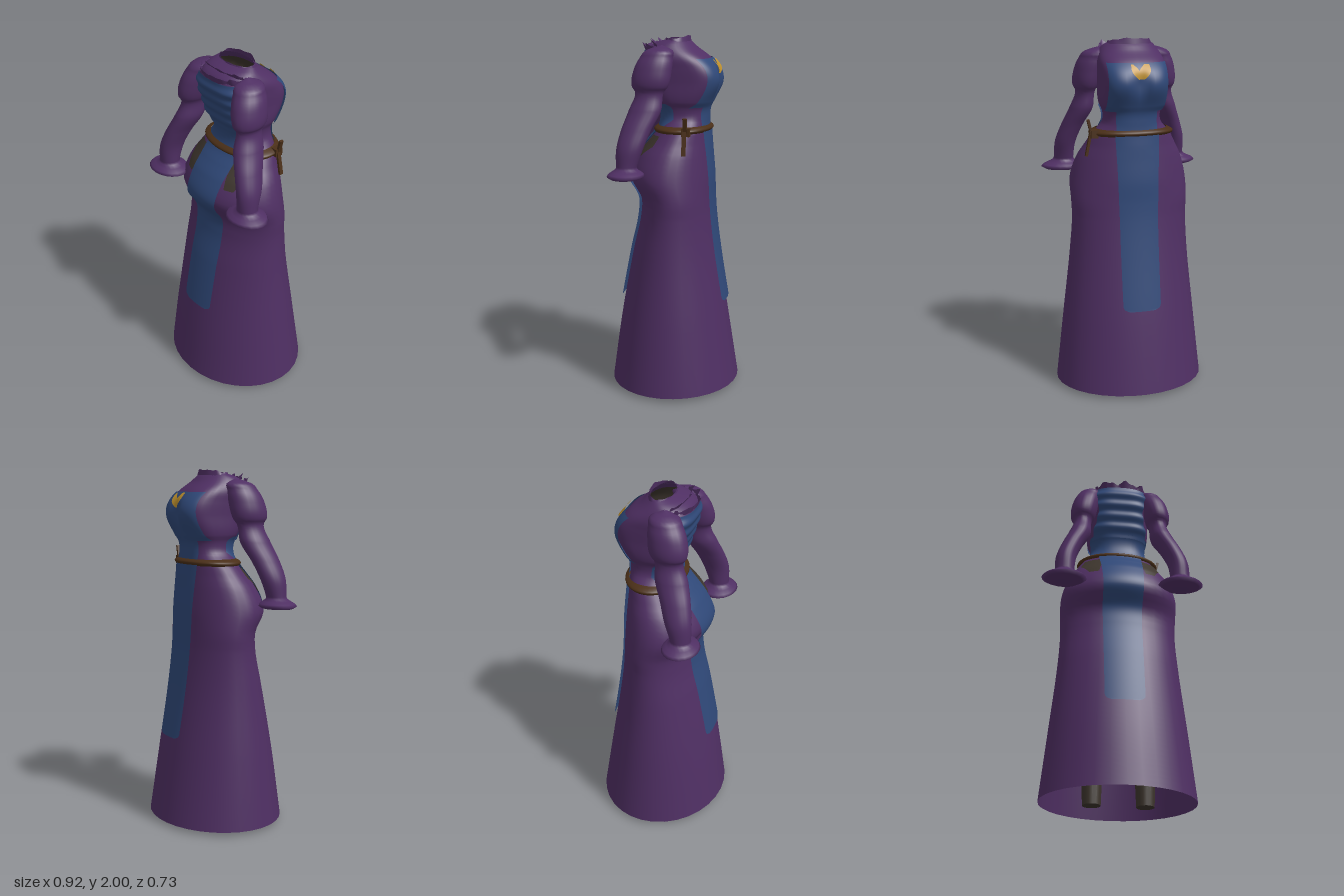
import * as THREE from 'three';
import { ParametricGeometry } from 'three/addons/geometries/ParametricGeometry.js';

const mat = (name, color) => {
  const m = new THREE.MeshStandardMaterial({ color, side: THREE.DoubleSide });
  m.name = name;
  return m;
};

// Smooth lookup in a table whose first column is the height, rising
function table(rows) {
  const n = rows[0].length - 1;
  const curve = new THREE.CubicInterpolant(rows.map(r => r[0]), rows.flatMap(r => r.slice(1)), n, new Array(n));
  return y => [...curve.evaluate(y)];
}

// Gown sections: y, half width, +z reach, -z reach, squareness (1 = ellipse)
const gown = table([
  [0.02, 0.43, 0.365, 0.365, 1],
  [0.4, 0.388, 0.31, 0.305, 1],
  [0.8, 0.345, 0.235, 0.24, 1],
  [1.0, 0.333, 0.19, 0.215, 1],
  [1.1, 0.337, 0.187, 0.208, 1],
  [1.22, 0.335, 0.25, 0.205, 1],
  [1.35, 0.295, 0.2, 0.195, 1],
  [1.42, 0.255, 0.145, 0.19, 1],
  [1.48, 0.22, 0.095, 0.185, 0.95],
  [1.54, 0.165, 0.075, 0.183, 0.85],
  [1.6, 0.16, 0.08, 0.187, 0.8],
  [1.64, 0.175, 0.1, 0.205, 0.7],
  [1.75, 0.18, 0.135, 0.252, 0.6],
  [1.82, 0.183, 0.155, 0.235, 0.6],
  [1.88, 0.183, 0.165, 0.185, 0.7],
  [1.93, 0.165, 0.15, 0.12, 0.85],
  [1.96, 0.14, 0.1, 0.09, 1],
  [1.975, 0.118, 0.05, 0.072, 1],
]);

// Point on the gown at height y and angle a (0 faces +z), pushed out by off
function skin(y, a, off, target) {
  const [w, zp, zn, e] = gown(y);
  const pw = t => Math.sign(t) * Math.abs(t) ** e;
  const mid = (zp - zn) / 2, depth = (zp + zn) / 2;
  const x = (w + off) * pw(Math.sin(a));
  let z = mid + (depth + off) * pw(Math.cos(a));
  // hollow between the two sides of the chest
  if (z < mid) z += 0.03 * Math.exp(-((x / 0.04) ** 2) - (((y - 1.76) / 0.07) ** 2));
  return target.set(x, y, z);
}

// Angle from the middle of a side at which the gown reaches a given x
function angleAt(y, x) {
  const [w, , , e] = gown(y);
  return Math.asin(Math.sign(x) * Math.min(0.985, Math.abs(x) / w) ** (1 / e));
}

const lerp = THREE.MathUtils.lerp;

export function createModel() {
  const group = new THREE.Group();
  const purple = mat('purple cloth', 0x4f2f63);
  const blue = mat('blue cloth', 0x2f4878);
  const brown = mat('brown leather', 0x4a2f18);
  const dark = mat('dark lining', 0x3d352d);
  const gold = mat('gold', 0xc0922f);

  const add = (name, geometry, material, parent = group) => {
    const mesh = new THREE.Mesh(geometry, material);
    mesh.name = name;
    parent.add(mesh);
    return mesh;
  };
  const surface = (name, material, f, nu, nv) => add(name, new ParametricGeometry(f, nu, nv), material);

  // Closed band of the gown between two heights
  const band = (name, material, y0, y1, off, nv, nu = 40) =>
    surface(name, material, (u, v, t) => skin(lerp(y0, y1, v), u * Math.PI * 2, off(v), t), nu, nv);

  // Cloth panel hugging the gown; side 0 is +z, side 1 is -z
  const panel = (name, material, side, y0, y1, left, right, off, nv, nu = 16) =>
    surface(name, material, (u, v, t) => {
      const y = lerp(y0, y1, v);
      const a = lerp(angleAt(y, left(y)), angleAt(y, right(y)), u);
      return skin(y, a + side * Math.PI, off(y), t);
    }, nu, nv);

  band('skirt', purple, 0.02, 1.49, () => 0, 48, 32);
  band('bodice', purple, 1.48, 1.975, () => 0, 40);
  band('bodyLining', dark, 1.3, 1.94, () => -0.018, 24, 28);
  band('belt', brown, 1.472, 1.508, v => 0.008 + 0.018 * Math.sin(Math.PI * v), 6);

  // Long tabard strips with rounded lower corners
  const stripHalf = y => {
    const r = 0.035, d = Math.min(r, Math.max(0, y - 0.5));
    const taper = y > 1 ? 0.105 + 0.012 * (y - 1) / 0.5 : 0.105;
    return taper - r + Math.sqrt(r * r - (r - d) ** 2);
  };
  // Bib and waist panels on both sides
  const wrinkle = y => 0.011 + 0.004 * Math.sin(y * 95);
  const bibHalf = y => 0.137 + 0.012 * Math.cos((y - 1.63) * 22);
  for (const side of [0, 1]) {
    const place = side ? 'bust' : 'back';
    panel(place + 'Strip', blue, side, 0.5, 1.485, y => -stripHalf(y), stripHalf, () => 0.016, 90, 10);
    const half = side ? () => 0.158 : bibHalf;
    panel(place + 'Bib', blue, side, 1.61, side ? 1.875 : 1.915, y => -half(y), half, side ? () => 0.009 : wrinkle, 40);
    const w = side ? 0.11 : 0.162;
    panel(place + 'Waist', blue, side, 1.49, 1.63, () => -w, () => w, () => 0.008, 10);
  }

  // Dark patches over the hips
  for (const s of [-1, 1]) {
    const inner = y => s * (0.115 + 0.25 * Math.max(0, 1.39 - y));
    const outer = y => s * (0.225 - 0.5 * Math.abs(y - 1.4));
    panel('hipPatch', dark, 0, 1.32, 1.455, s > 0 ? inner : outer, s > 0 ? outer : inner, () => 0.006, 10, 8);
  }

  // Sleeves: y, centre x, centre z, half width, half depth
  const sleeve = table([
    [1.228, 0.335, 0.21, 0.002, 0.002],
    [1.232, 0.335, 0.21, 0.058, 0.045],
    [1.3, 0.333, 0.205, 0.056, 0.056],
    [1.4, 0.325, 0.188, 0.058, 0.074],
    [1.5, 0.29, 0.16, 0.06, 0.083],
    [1.6, 0.245, 0.122, 0.064, 0.09],
    [1.7, 0.225, 0.1, 0.054, 0.08],
    [1.73, 0.224, 0.098, 0.07, 0.1],
    [1.82, 0.208, 0.085, 0.08, 0.105],
    [1.88, 0.19, 0.07, 0.075, 0.092],
    [1.925, 0.168, 0.055, 0.06, 0.068],
    [1.947, 0.15, 0.05, 0.004, 0.004],
  ]);
  for (const s of [-1, 1]) {
    surface(s > 0 ? 'leftSleeve' : 'rightSleeve', purple, (u, v, t) => {
      const y = lerp(1.228, 1.947, v), a = u * Math.PI * 2;
      const [cx, cz, w, d] = sleeve(y);
      return t.set(s * cx + w * Math.sin(a), y, cz + d * Math.cos(a));
    }, 20, 56);
  }

  // Ragged collar around the neck opening
  surface('collar', purple, (u, v, t) => {
    const a = u * Math.PI * 2;
    const rag = 0.5 + 0.25 * Math.sin(a * 5) + 0.25 * Math.sin(a * 9 + 1);
    const top = 0.012 + 0.008 * rag + 0.016 * Math.max(0, -Math.cos(a));
    const r = 1.08 - 0.1 * v + 0.04 * rag * v;
    return t.set(0.118 * r * Math.sin(a), 1.964 + v * top, -0.012 + 0.066 * r * Math.cos(a));
  }, 48, 5);

  // Loose gathered folds behind the neck
  for (const [i, z, y0, y1] of [[0, 0.155, 1.885, 1.945], [1, 0.105, 1.93, 1.965]]) {
    surface('neckFold', purple, (u, v, t) => {
      const a = lerp(-1.3, 1.3, u);
      const rag = 0.008 * Math.sin(a * 8 + i) + 0.005 * Math.sin(a * 15);
      return t.set(0.155 * Math.sin(a), lerp(y0, y1 + rag, v), (z - 0.05) * Math.cos(a) + 0.052 + 0.02 * v + rag * v);
    }, 36, 4);
  }

  // Legs and hips inside the skirt
  for (const s of [-1, 1]) {
    const leg = add('leg', new THREE.CylinderGeometry(0.1, 0.05, 1.3, 16), dark);
    leg.position.set(s * 0.145, 0.65, 0.02);
  }
  const hips = add('hips', new THREE.SphereGeometry(1, 24, 12), dark);
  hips.scale.set(0.22, 0.12, 0.13);
  hips.position.set(0, 1.32, 0.0);

  // Belt knot with a hanging and a raised end
  const knot = new THREE.Group();
  knot.name = 'beltKnot';
  knot.position.set(0.225, 1.485, -0.1);
  group.add(knot);
  add('knotCore', new THREE.BoxGeometry(0.04, 0.045, 0.045), brown, knot);
  const raised = add('raisedEnd', new THREE.BoxGeometry(0.014, 0.09, 0.022), brown, knot);
  raised.position.set(0.022, 0.035, 0);
  raised.rotation.z = -0.25;
  const hanging = add('hangingEnd', new THREE.BoxGeometry(0.014, 0.13, 0.022), brown, knot);
  hanging.position.set(0.03, -0.06, 0.005);
  hanging.rotation.z = 0.2;

  // Winged clasp on the chest
  for (const s of [-1, 1]) {
    const half = y => 0.008 + s * 0.004 + 0.016 * Math.sin((y - 1.79) / 0.08 * Math.PI);
    const mid = y => s * (0.006 + 0.38 * (y - 1.79));
    panel('claspWing', gold, 1, 1.79, 1.87, y => mid(y) - half(y), y => mid(y) + half(y), () => 0.02, 10, 6);
  }
  return group;
}
